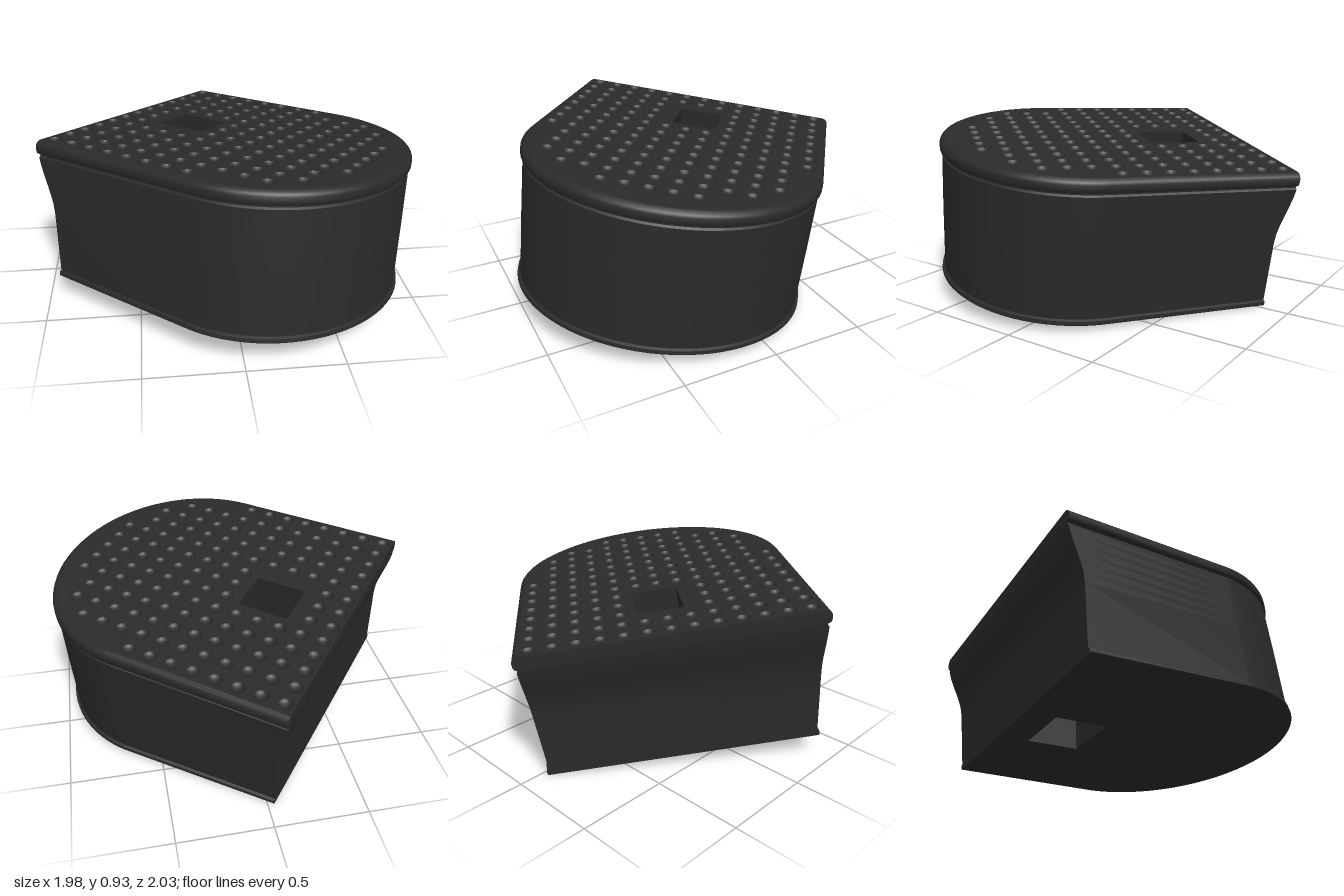
import * as THREE from 'three';
import { mergeGeometries, toCreasedNormals } from 'three/addons/utils/BufferGeometryUtils.js';

const HALF = 0.775, STRAIGHT = 0.98, NOSE = 0.70, HEIGHT = 0.74;
const rect = (x0, x1, z0, z1) => [[x0, z0], [x1, z0], [x1, z1], [x0, z1]];
const HOLE_TOP = rect(-0.095, 0.15, 0.285, 0.565);
const HOLE_BOTTOM = rect(-0.105, 0.21, 0.25, 0.55);

// the back wall sweeps inward below the top edge
const backInset = (y) => 0.077 * THREE.MathUtils.smoothstep(-y, 0.05, 0.38);

// D-shaped outline as [x, z] pairs: flat back narrowing downward, straight sides, round nose
function outline(y, inset) {
  const w = HALF - inset, zb = backInset(y), wb = w + 0.045 * y / HEIGHT, pts = [[-wb, zb], [wb, zb]];
  for (let i = 0; i <= 40; i++) {
    const t = (i / 40) * Math.PI;
    pts.push([w * Math.cos(t), STRAIGHT + (NOSE - inset) * Math.sin(t)]);
  }
  return pts;
}

// the block is slightly taller toward its -x side
function slant(g) {
  const p = g.attributes.position;
  for (let i = 0; i < p.count; i++) {
    p.setY(i, p.getY(i) * (1 + 0.04 * (0.5 - p.getX(i) / (2 * HALF))));
  }
  return g;
}

// skin between rings of equal length, listed from top to bottom
function loft(rings) {
  const n = rings[0].pts.length, pos = [], idx = [];
  rings.forEach(({ y, pts }) => pts.forEach(([x, z]) => pos.push(x, y, z)));
  for (let r = 0; r < rings.length - 1; r++) {
    for (let j = 0; j < n; j++) {
      const a = r * n + j, b = r * n + (j + 1) % n;
      idx.push(a, b, a + n, b, b + n, a + n);
    }
  }
  const g = new THREE.BufferGeometry();
  g.setAttribute('position', new THREE.Float32BufferAttribute(pos, 3));
  g.setIndex(idx);
  return toCreasedNormals(slant(g), 0.7);
}

// flat face with holes, facing up (sign -1) or down (sign 1)
function face(pts, holes, sign, y) {
  const to2 = (list) => list.map(([x, z]) => new THREE.Vector2(x, sign * z));
  const shape = new THREE.Shape(to2(pts));
  holes.forEach((h) => shape.holes.push(new THREE.Path(to2(h))));
  return slant(new THREE.ShapeGeometry(shape).rotateX(sign * Math.PI / 2).translate(0, y, 0));
}

// grid of dimple centres, kept clear of the edge and the square hole
function dimpleCentres() {
  const out = [], [[x0, z0], , [x1, z1]] = HOLE_TOP, gap = 0.045;
  for (let i = -6; i <= 6; i++) {
    for (let j = 0; j < 13; j++) {
      const x = i * 0.115, z = 0.05 + j * 0.12;
      const nose = Math.max(0, z - STRAIGHT) / (NOSE - 0.11);
      if (z > STRAIGHT && Math.hypot(x / (HALF - 0.1), nose) > 1) continue;
      if (x > x0 - gap && x < x1 + gap && z > z0 - gap && z < z1 + gap) continue;
      out.push([x, z]);
    }
  }
  return out;
}

export function createModel() {
  const rubber = new THREE.MeshStandardMaterial({ color: 0x2a2a2a });
  rubber.name = 'black rubber';
  const block = new THREE.Group();
  block.name = 'heelBlock';
  const add = (name, geometry) => {
    const m = new THREE.Mesh(geometry, rubber);
    m.name = name;
    block.add(m);
  };

  // side wall: rounded cap, groove, body, thin bottom lip as [y, inset]
  const profile = [
    [0, 0.03], [-0.006, 0.015], [-0.016, 0.005], [-0.028, 0], [-0.055, 0], [-0.066, 0.006], [-0.072, 0.022],
    [-0.08, 0.022], [-0.088, 0.012], [-0.13, 0.012], [-0.18, 0.012], [-0.23, 0.012], [-0.28, 0.012],
    [-0.33, 0.012], [-0.38, 0.012], [-0.71, 0.015], [-0.716, 0.002], [-0.734, 0], [-HEIGHT, 0.006],
  ];
  add('sideWall', loft(profile.map(([y, inset]) => ({ y, pts: outline(y, inset) }))));

  // top tread with round dimples
  const R = 0.039, SEG = 14, centres = dimpleCentres();
  const circles = centres.map(([cx, cz]) => Array.from({ length: SEG }, (_, k) => {
    const t = (k / SEG) * Math.PI * 2;
    return [cx + R * Math.sin(t), cz + R * Math.cos(t)];
  }));
  add('topTread', face(outline(0, 0.03), [HOLE_TOP, ...circles], -1, 0));
  const bowlProfile = [[R, 0], [R * 0.85, -0.01], [R * 0.5, -0.017], [0, -0.02]].map((p) => new THREE.Vector2(...p));
  const bowl = new THREE.LatheGeometry(bowlProfile, SEG);
  add('treadDimples', mergeGeometries(centres.map(([x, z]) => bowl.clone().translate(x, 0, z))));

  // underside and square through-hole
  add('underside', face(outline(-HEIGHT, 0.006), [HOLE_BOTTOM], 1, -HEIGHT));
  add('holeWall', loft([{ y: -HEIGHT, pts: HOLE_BOTTOM }, { y: 0, pts: HOLE_TOP }]));

  // turn and tilt the block into its resting pose
  const up = new THREE.Vector3(0.045, 1, -0.108).normalize();
  const forward = new THREE.Vector3(0.785, 0.034, 0.62).projectOnPlane(up).normalize();
  const side = new THREE.Vector3().crossVectors(up, forward);
  block.quaternion.setFromRotationMatrix(new THREE.Matrix4().makeBasis(side, up, forward));
  block.position.set(-0.512, 0.817, -0.415);

  const model = new THREE.Group();
  model.name = 'heel';
  model.add(block);
  return model;
}
